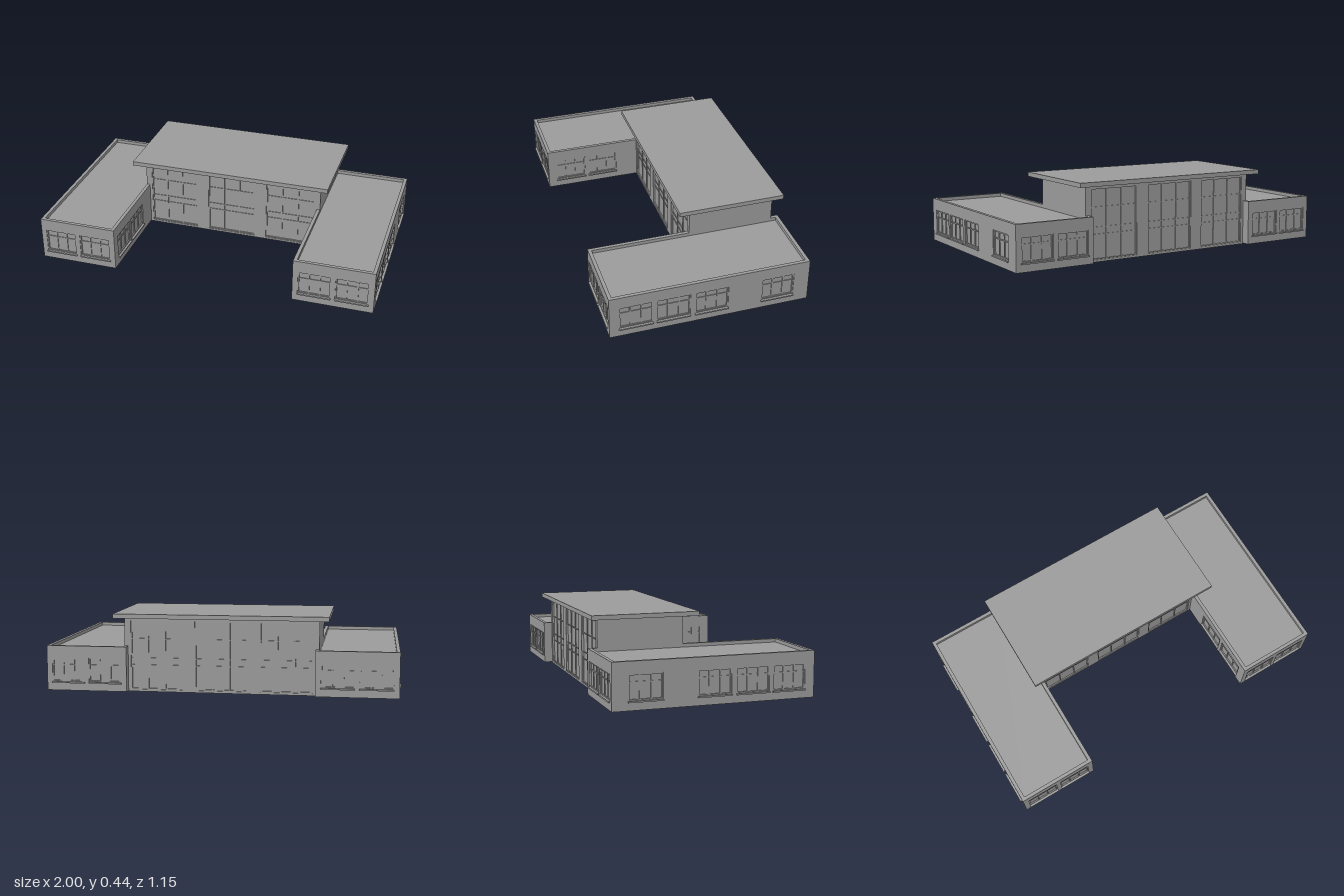
import * as THREE from 'three';

const mat = new THREE.MeshStandardMaterial({ color: 0x9b9b9b, flatShading: true });

function box(parent, name, x0, x1, y0, y1, z0, z1) {
  const m = new THREE.Mesh(new THREE.BoxGeometry(x1 - x0, y1 - y0, z1 - z0), mat);
  m.position.set((x0 + x1) / 2, (y0 + y1) / 2, (z0 + z1) / 2);
  m.name = name;
  parent.add(m);
}

// Wall standing along local x, outer face at z = 0 looking to +z.
// Each opening is [x0, x1, y0, y1] and gets a pane just behind the face.
function wall(name, width, y0, y1, openings) {
  const g = new THREE.Group();
  g.name = name;
  const depth = 0.02;
  const s = new THREE.Shape();
  s.moveTo(-width / 2, y0).lineTo(width / 2, y0).lineTo(width / 2, y1).lineTo(-width / 2, y1).closePath();
  for (const [a, b, c, d] of openings) {
    const h = new THREE.Path();
    h.moveTo(a, c).lineTo(a, d).lineTo(b, d).lineTo(b, c).closePath();
    s.holes.push(h);
    box(g, 'glassPane', a, b, c, d, -0.016, -0.011);
  }
  const m = new THREE.Mesh(new THREE.ExtrudeGeometry(s, { depth, bevelEnabled: false }), mat);
  m.position.z = -depth;
  m.name = name + 'Panel';
  g.add(m);
  return g;
}

// Frame of thickness t around an opening plus its inner bars
function frame(parent, [a, b, c, d], t, uprights, rails) {
  const back = -0.011, front = -0.004, bar = -0.006;
  box(parent, 'frameLeft', a, a + t, c, d, back, front);
  box(parent, 'frameRight', b - t, b, c, d, back, front);
  box(parent, 'frameBottom', a + t, b - t, c, c + t, back, front);
  box(parent, 'frameTop', a + t, b - t, d - t, d, back, front);
  for (const x of uprights) box(parent, 'mullion', x - t / 2, x + t / 2, c + t, d - t, back, bar);
  for (const y of rails) box(parent, 'transom', a + t, b - t, y - t / 2, y + t / 2, back, bar - 0.001);
}

// Wing wall with a row of framed windows and projecting sills
function windowWall(name, width, centres) {
  const holes = centres.map((c) => [c - 0.093, c + 0.093, 0.055, 0.193]);
  const g = wall(name, width, 0.005, 0.26, holes);
  for (const h of holes) {
    const third = (h[1] - h[0]) / 3;
    frame(g, h, 0.007, [h[0] + third, h[1] - third], [0.15]);
    box(g, 'windowSill', h[0] - 0.002, h[1] + 0.002, 0.047, 0.055, -0.015, 0.009);
  }
  return g;
}

function makeWing(s) {
  const g = new THREE.Group();
  g.name = s > 0 ? 'leftWing' : 'rightWing';
  const cx = 0.76, halfW = 0.23, halfL = 0.565;
  // Floor and sunken roof
  box(g, 'wingCore', -halfW + 0.02, halfW - 0.02, 0.005, 0.24, -halfL + 0.02, halfL - 0.02);
  const place = (w, x, z, ry) => {
    w.position.set(x, 0, z);
    w.rotation.y = ry;
    g.add(w);
  };
  place(windowWall('wingFrontWall', 0.46, [-0.106, 0.106]), 0, halfL, 0);
  place(windowWall('wingBackWall', 0.46, [-0.106, 0.106]), 0, -halfL, Math.PI);
  const outer = [0.418, 0.21, -0.005, -0.383], inner = [0.418, 0.21];
  place(windowWall('wingOuterWall', 1.09, outer.map((z) => -s * z)), s * halfW, 0, s * Math.PI / 2);
  place(windowWall('wingInnerWall', 1.09, inner.map((z) => s * z)), -s * halfW, 0, -s * Math.PI / 2);
  g.position.x = s * cx;
  return g;
}

// Long hall wall: three equal glazed bays with piers between them
function glazedWall(name, z, ry) {
  const bay = 1.1 / 3, half = 0.147;
  const holes = [-bay, 0, bay].map((c) => [c - half, c + half, 0.012, 0.405]);
  const g = wall(name, 1.1, 0, 0.42, holes);
  for (const h of holes) {
    const third = (h[1] - h[0]) / 3;
    frame(g, h, 0.006, [h[0] + third, h[1] - third], [0.15, 0.19, 0.3]);
  }
  g.position.z = z;
  g.rotation.y = ry;
  return g;
}

function makeHall() {
  const g = new THREE.Group();
  g.name = 'hall';
  const front = -0.02, back = -0.515;
  box(g, 'hallRoof', -0.605, 0.605, 0.42, 0.445, -0.56, 0.055);
  box(g, 'hallLeftWall', 0.53, 0.55, 0, 0.42, back + 0.02, front - 0.02);
  box(g, 'hallRightWall', -0.55, -0.53, 0, 0.42, back + 0.02, front - 0.02);
  g.add(glazedWall('hallFrontWall', front, 0), glazedWall('hallBackWall', back, Math.PI));
  return g;
}

export function createModel() {
  const model = new THREE.Group();
  model.name = 'building';
  model.add(makeHall(), makeWing(1), makeWing(-1));
  return model;
}
